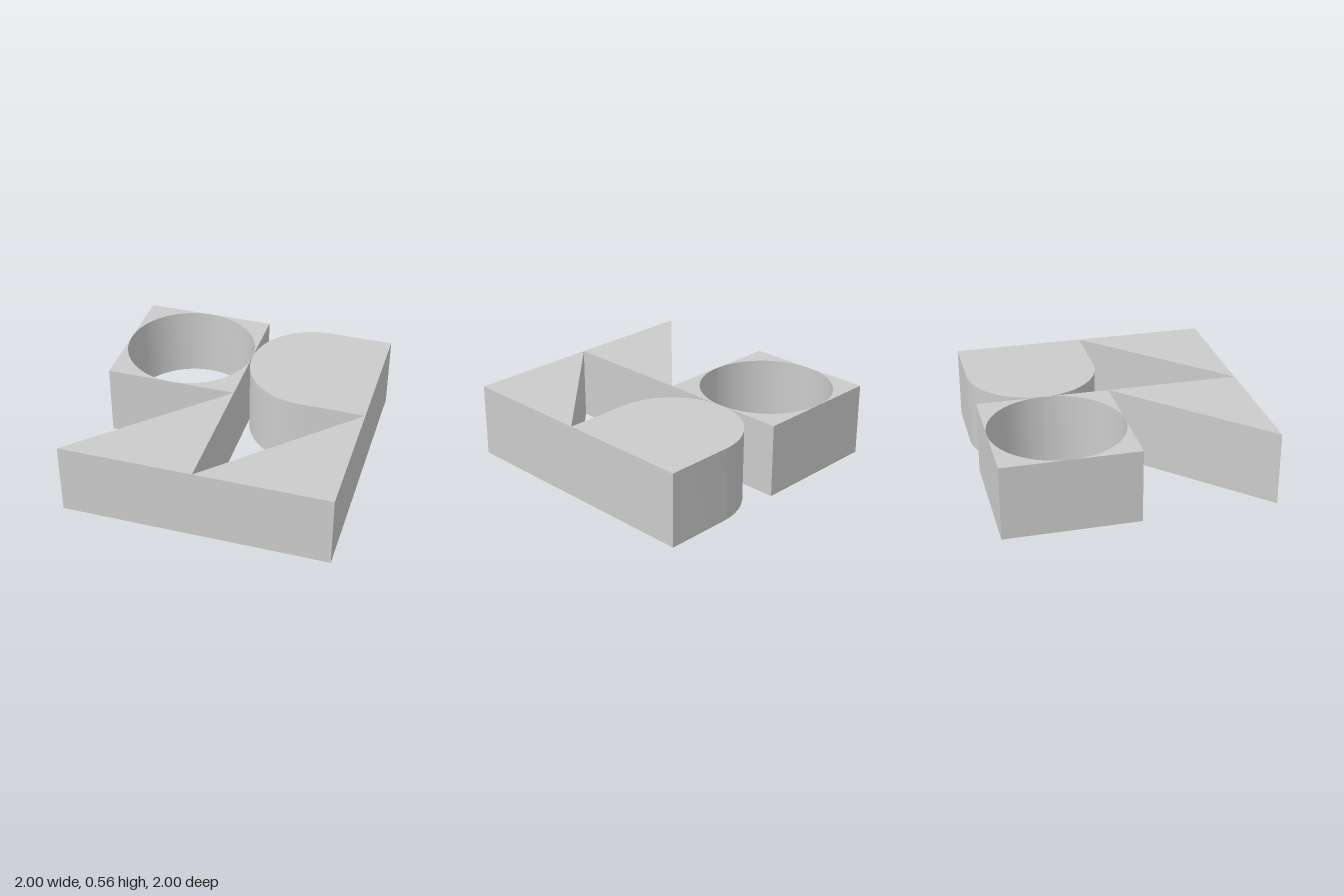
import * as THREE from 'three';
import { toCreasedNormals } from 'three/addons/utils/BufferGeometryUtils.js';

const HEIGHT = 0.555;
const R = 0.5;
const material = new THREE.MeshStandardMaterial({ color: 0xcccccc });

// Extrudes a plan outline (x right, y towards the back) upward from the ground
function slab(name, shape, curveSegments = 16) {
  const flat = new THREE.ExtrudeGeometry(shape, { depth: HEIGHT, bevelEnabled: false, curveSegments });
  flat.rotateX(-Math.PI / 2);
  const mesh = new THREE.Mesh(toCreasedNormals(flat, 0.5), material);
  mesh.name = name;
  return mesh;
}

export function createModel() {
  const group = new THREE.Group();
  group.name = 'tileRelief';

  // Square block with a round hole touching its sides: four curved corners
  const ring = new THREE.Group();
  ring.name = 'roundHoleBlock';
  const corner = new THREE.Shape();
  corner.moveTo(R, 0);
  corner.lineTo(R, R);
  corner.lineTo(0, R);
  corner.absarc(0, 0, R, Math.PI / 2, 0, true);
  for (let i = 0; i < 4; i++) {
    const piece = slab('holeCorner' + (i + 1), corner, 8);
    piece.rotation.y = i * Math.PI / 2;
    ring.add(piece);
  }
  ring.position.set(-0.5, 0, -0.5);
  group.add(ring);

  // Block with one half-round end
  const arch = new THREE.Shape();
  arch.moveTo(1, 0);
  arch.lineTo(1, 1);
  arch.lineTo(0.5, 1);
  arch.absarc(0.5, 0.5, R, Math.PI / 2, Math.PI * 1.5, false);
  group.add(slab('roundEndBlock', arch));

  // Two matching triangular wedges along the front
  const wedge = new THREE.Shape([
    new THREE.Vector2(-1, -1),
    new THREE.Vector2(0, -1),
    new THREE.Vector2(0, 0),
  ]);
  ['rightWedge', 'leftWedge'].forEach((name, i) => {
    const mesh = slab(name, wedge);
    mesh.position.x = i;
    group.add(mesh);
  });

  return group;
}
